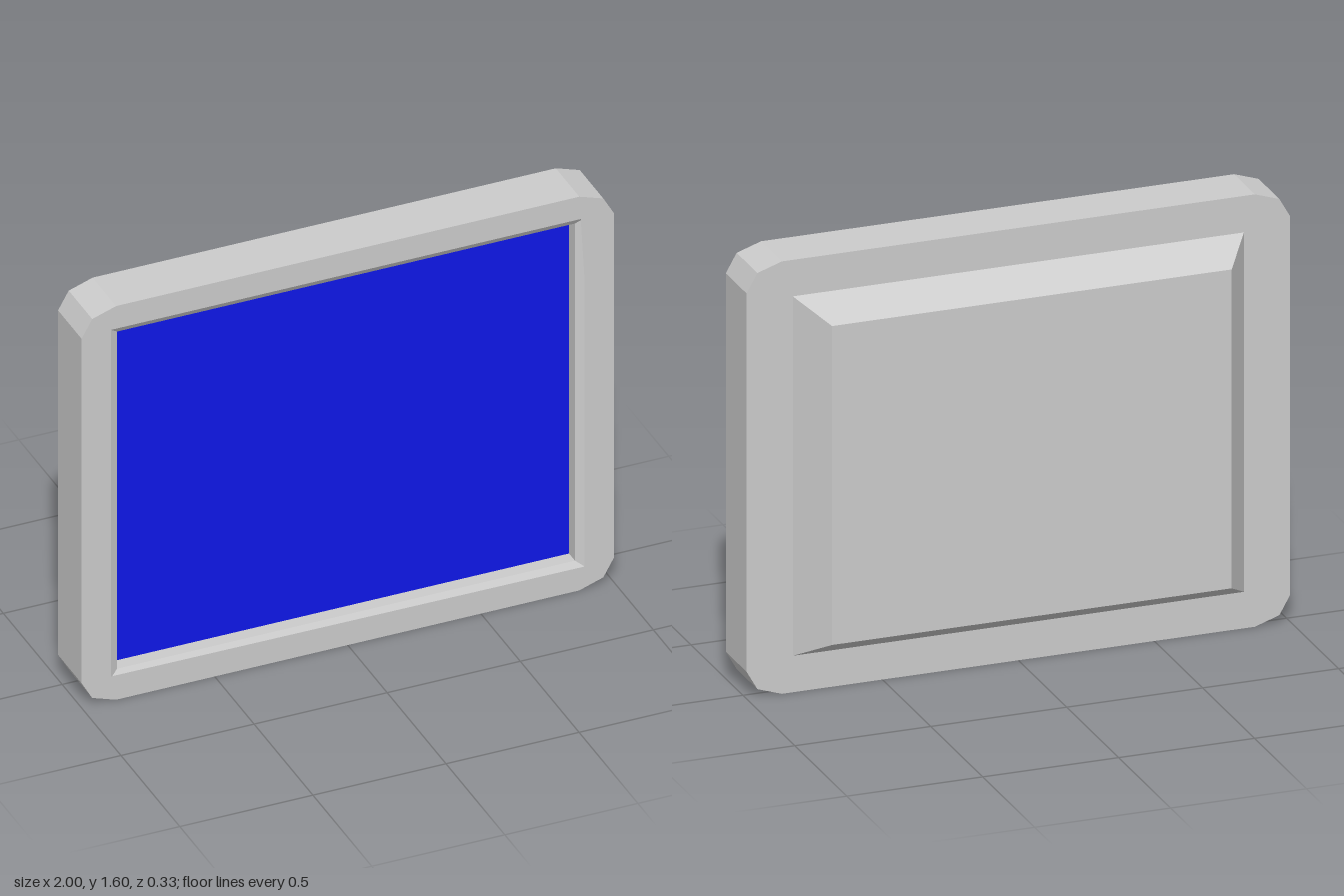
import * as THREE from 'three';

const H = 1.6, MID = H / 2;
const BACK = -0.035;

const material = (color) => new THREE.MeshStandardMaterial({ color, flatShading: true });

// Moves every vertex of a geometry by a rule, then rebuilds the normals
function reshape(geometry, rule) {
  const pos = geometry.attributes.position;
  const v = new THREE.Vector3();
  for (let i = 0; i < pos.count; i++) {
    rule(v.fromBufferAttribute(pos, i));
    pos.setXYZ(i, v.x, v.y, v.z);
  }
  geometry.computeVertexNormals();
  return geometry;
}

function addMesh(group, name, geometry, mat) {
  const mesh = new THREE.Mesh(geometry, mat);
  mesh.name = name;
  group.add(mesh);
  return mesh;
}

// Outline with two-step clipped corners, and the screen opening as a hole
function frameShape() {
  const corner = [[1, 0.7], [0.96, 0.77], [0.87, 0.8]];
  const points = [];
  for (const [sx, sy] of [[1, 1], [-1, 1], [-1, -1], [1, -1]]) {
    const run = sx * sy > 0 ? corner : [...corner].reverse();
    for (const [x, y] of run) points.push(new THREE.Vector2(x * sx, y * sy));
  }
  const shape = new THREE.Shape(points);
  shape.holes.push(new THREE.Path([
    new THREE.Vector2(-0.86, -0.685), new THREE.Vector2(-0.86, 0.685),
    new THREE.Vector2(0.86, 0.685), new THREE.Vector2(0.86, -0.685),
  ]));
  return shape;
}

export function createModel() {
  const group = new THREE.Group();
  group.name = 'flatMonitor';
  const grey = material(0xcccccc);

  // Frame: the opening flares at the front lip and meets the housing at the back
  const layers = [BACK, 0.1, 0.15, 0.165];
  const frame = new THREE.ExtrudeGeometry(frameShape(), { depth: 3, steps: 3, bevelEnabled: false });
  reshape(frame, (v) => {
    const layer = Math.round(v.z);
    if (Math.abs(v.x) < 0.865) {
      const [w, h] = [[0.83, 0.665], [0.86, 0.685], [0.86, 0.685], [0.89, 0.708]][layer];
      v.x = Math.sign(v.x) * w;
      v.y = Math.sign(v.y) * h;
    }
    v.z = layers[layer];
  });
  addMesh(group, 'frame', frame, grey).position.y = MID;

  // Screen, recessed behind the lip
  addMesh(group, 'screen', new THREE.PlaneGeometry(1.72, 1.37), material(0x0f17e8))
    .position.set(0, MID, 0.1);

  // Rear housing: a box narrowed towards the back
  const housing = reshape(new THREE.BoxGeometry(1.66, 1.33, 0.13), (v) => {
    if (v.z < 0) {
      v.x = Math.sign(v.x) * 0.735;
      v.y = Math.sign(v.y) * 0.59;
    }
  });
  addMesh(group, 'rearHousing', housing, grey).position.set(0, MID, BACK - 0.065);

  return group;
}
